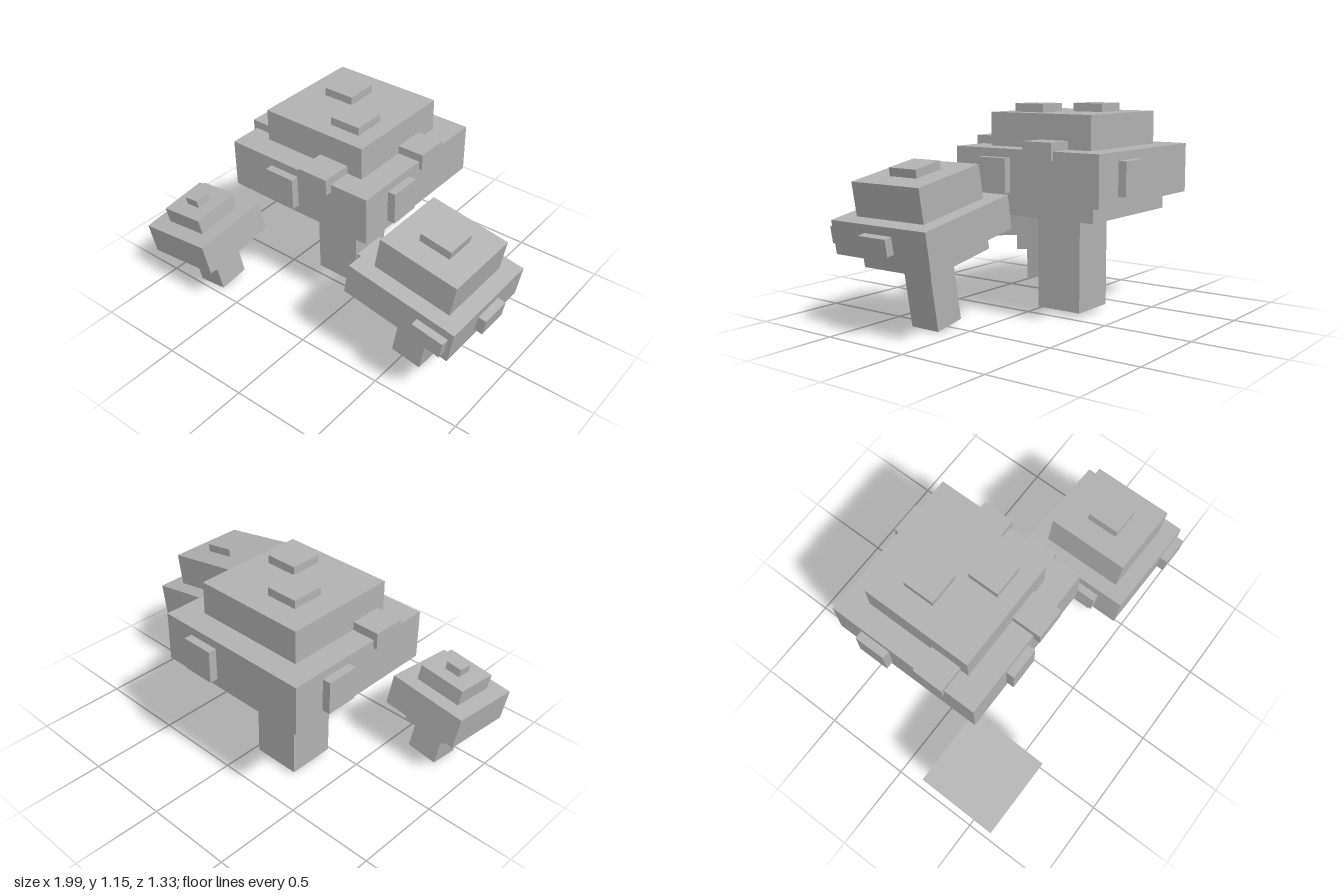
import * as THREE from 'three';

const stone = new THREE.MeshStandardMaterial({ color: 0xb4b4b4 });
stone.name = 'plain grey';

// Adds one named box by centre and size
function box(parent, name, [x, y, z], [w, h, d]) {
  const mesh = new THREE.Mesh(new THREE.BoxGeometry(w, h, d), stone);
  mesh.name = name;
  mesh.position.set(x, y, z);
  parent.add(mesh);
}

// Stacks a square layer of the given width between two heights
function layer(parent, name, width, y0, y1) {
  box(parent, name, [0, (y0 + y1) / 2, 0], [width, y1 - y0, width]);
}

// A mushroom whose origin is the centre of its cap
function mushroom(name, position, tilt, { cap, capH, crown, crownH, gill, stem, stemH }, spots) {
  const g = new THREE.Group();
  g.name = name;
  g.position.set(...position);
  g.rotation.set(...tilt.map(THREE.MathUtils.degToRad));
  const h = capH / 2;
  layer(g, 'cap', cap, -h, h);
  layer(g, 'crown', crown, h, h + crownH);
  layer(g, 'gills', gill, -h - 0.09, -h);
  layer(g, 'stem', stem, -h - 0.09 - stemH, -h - 0.09);
  for (const [centre, size] of spots) box(g, 'spot', centre, size);
  return g;
}

const T = 0.045; // spot thickness
const S = 0.18;  // spot width

export function createModel() {
  const model = new THREE.Group();
  model.name = 'mushroomCluster';

  // Large upright mushroom
  model.add(mushroom('largeMushroom', [-0.185, 0.795, -0.17], [0, 0, 0],
    { cap: 0.9, capH: 0.27, crown: 0.635, crownH: 0.18, gill: 0.72, stem: 0.27, stemH: 0.54 },
    [
      // on the crown
      [[-0.09, 0.3375, -0.09], [S, T, S]],
      [[0.135, 0.3375, 0.135], [S, T, S]],
      // on the cap sides
      [[-0.09, 0, 0.4725], [S, S, T]],
      [[0.18, 0, -0.4725], [S, S, T]],
      [[-0.4725, 0, -0.18], [T, S, S]],
      [[0.4725, 0, 0.18], [T, S, S]],
      // over the cap rim
      [[0.135, 0.135, 0.4], [S, 0.09, S]],
      [[0.38, 0.135, -0.09], [S, 0.09, S]],
      [[-0.38, 0.135, 0.18], [S, 0.09, S]],
    ]));

  // Medium mushroom leaning left
  model.add(mushroom('mediumMushroom', [0.632, 0.56, 0.195], [0, 0, -10],
    { cap: 0.63, capH: 0.18, crown: 0.45, crownH: 0.18, gill: 0.45, stem: 0.18, stemH: 0.36 },
    [
      [[0, 0.2925, 0], [S, T, S]],
      [[0.2, 0, 0.3375], [S, 0.09, T]],
      [[-0.3375, 0, 0.09], [T, 0.09, S]],
      [[0.3375, 0, 0], [T, 0.09, S]],
    ]));

  // Small mushroom leaning forward and right
  model.add(mushroom('smallMushroom', [-0.765, 0.382, 0.423], [7, 0, 7],
    { cap: 0.45, capH: 0.18, crown: 0.27, crownH: 0.09, gill: 0.27, stem: 0.18, stemH: 0.18 },
    [[[0, 0.2025, 0], [0.09, T, 0.09]]]));

  return model;
}
